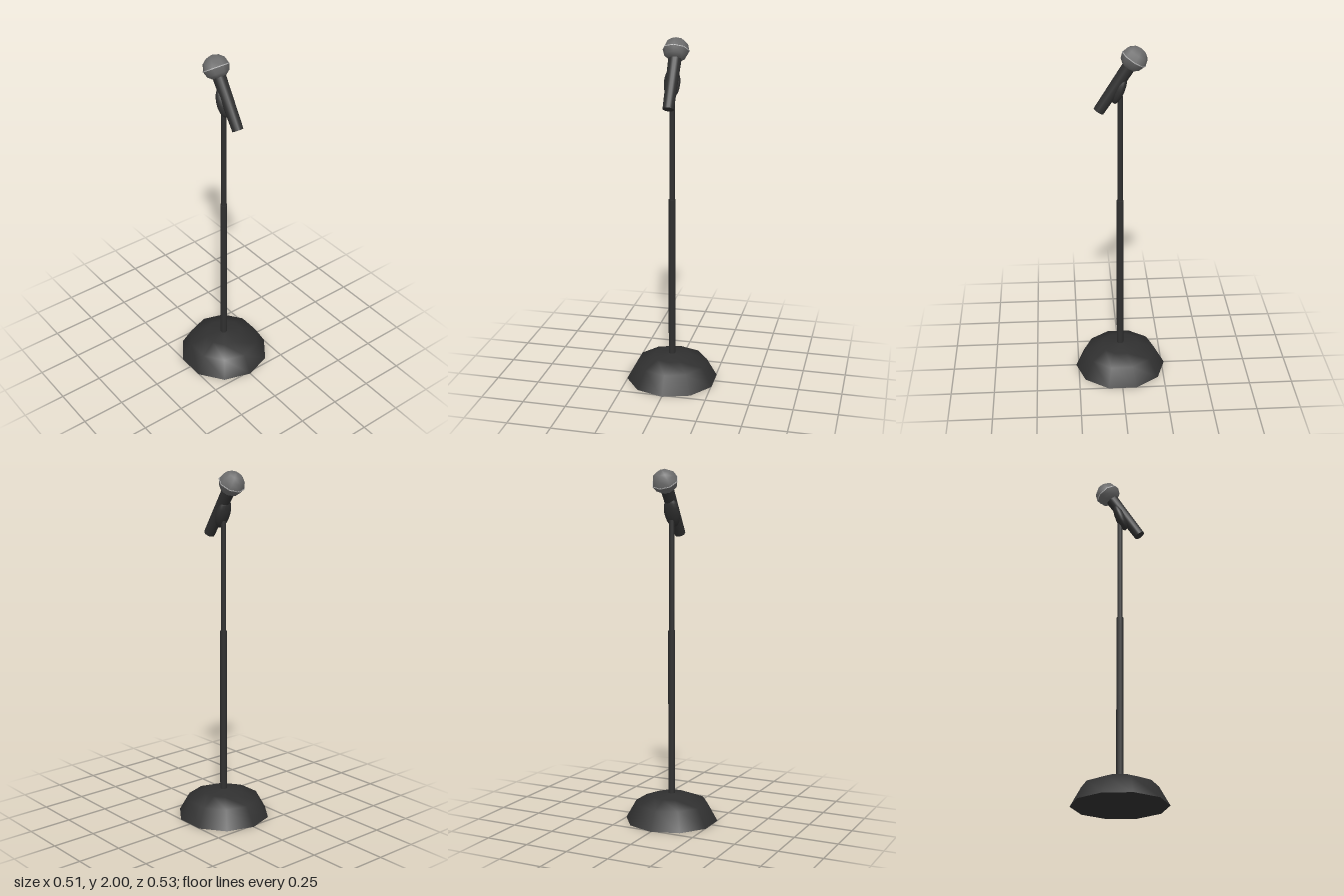
import * as THREE from 'three';

export function createModel() {
  const black = new THREE.MeshStandardMaterial({ color: 0x303030 });
  black.name = 'satin black';
  const grey = new THREE.MeshStandardMaterial({ color: 0x6c6c6c });
  grey.name = 'grille grey';
  const silver = new THREE.MeshStandardMaterial({ color: 0xb4b4b4 });
  silver.name = 'rim silver';

  const model = new THREE.Group();
  model.name = 'microphoneStand';

  const add = (parent, name, geometry, material, x = 0, y = 0, z = 0) => {
    const mesh = new THREE.Mesh(geometry, material);
    mesh.name = name;
    mesh.position.set(x, y, z);
    parent.add(mesh);
    return mesh;
  };
  const lathe = (profile, sides) =>
    new THREE.LatheGeometry(profile.map(([r, y]) => new THREE.Vector2(r, y)), sides);

  // Ten-sided domed foot with a flat underside
  add(model, 'baseDome', lathe([[0.266, 0], [0.207, 0.105], [0.112, 0.143], [0, 0.16]], 10), black);
  const underside = new THREE.CircleGeometry(0.266, 10, Math.PI / 2);
  underside.rotateX(Math.PI / 2);
  add(model, 'baseUnderside', underside, black);

  // Telescopic pole: thick lower tube, thin upper tube
  add(model, 'lowerPole', new THREE.CylinderGeometry(0.02, 0.02, 0.96, 10), black, 0, 0.62, 0);
  add(model, 'upperPole', new THREE.CylinderGeometry(0.015, 0.015, 0.64, 10), black, 0, 1.4, 0);

  // Rounded clip cradling the back of the handle
  const clip = add(model, 'clip', new THREE.SphereGeometry(1, 16, 10), black, 0, 1.762, 0.003);
  clip.scale.set(0.046, 0.088, 0.03);
  clip.rotation.x = -0.36;

  // Microphone, tilted back, with its origin at the centre of the grille
  const mic = new THREE.Group();
  mic.name = 'microphone';
  mic.position.set(0.005, 1.93, -0.074);
  mic.rotation.x = -0.58;
  model.add(mic);

  add(mic, 'handle', new THREE.CylinderGeometry(0.037, 0.031, 0.31, 16), black, 0, -0.192, 0);
  add(mic, 'grilleLower', lathe([[0, -0.058], [0.036, -0.057], [0.062, -0.036], [0.074, -0.004]], 8), grey);
  add(mic, 'grilleUpper', lathe([[0.074, -0.001], [0.062, 0.036], [0.036, 0.058], [0, 0.067]], 8), grey);
  add(mic, 'grilleRim', new THREE.CylinderGeometry(0.076, 0.076, 0.005, 8), silver, 0, -0.002, 0);

  return model;
}
